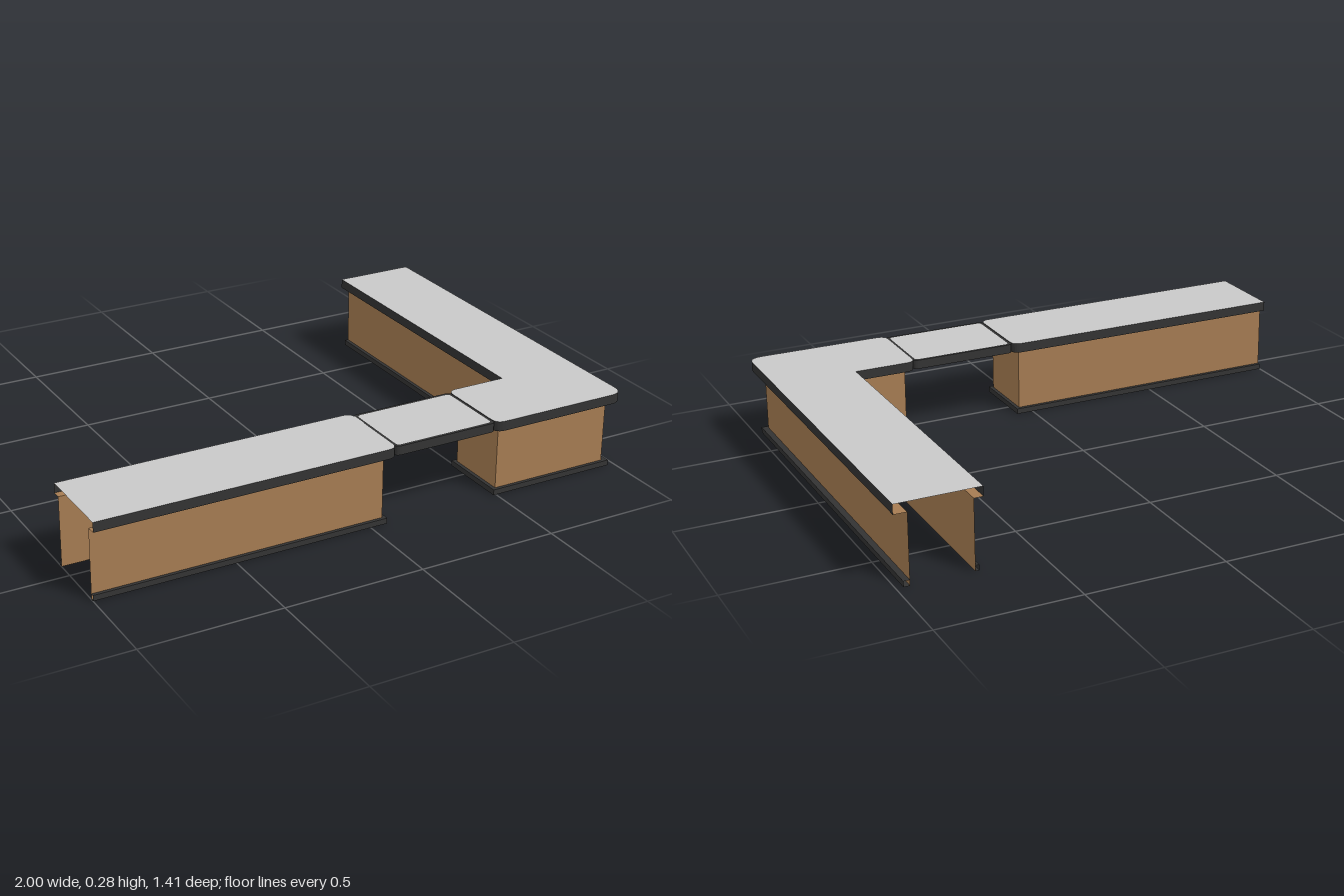
import * as THREE from 'three';

const TOP = 0.285, SOFFIT = 0.25, PLINTH = 0.02;

function material(name, color) {
  const m = new THREE.MeshStandardMaterial({ color, side: THREE.DoubleSide });
  m.name = name;
  return m;
}

// Rounds each [x, z, radius] corner; every corner yields the same number of points.
function outline(corners, steps = 6) {
  const pts = corners.map(([x, z]) => new THREE.Vector2(x, z));
  return pts.flatMap((p, i) => {
    if (i === 0 || i === pts.length - 1) return [p];
    const r = corners[i][2] || 0;
    const a = pts[i - 1].clone().sub(p).normalize().multiplyScalar(r).add(p);
    const b = pts[i + 1].clone().sub(p).normalize().multiplyScalar(r).add(p);
    const c = p.clone().lerp(a, 0.17).lerp(b, 0.0);
    c.copy(p);
    return new THREE.QuadraticBezierCurve(a, c, b).getPoints(steps);
  });
}

// Sheet running along a path, joining each [path, height] rail to the next.
function sheet(...rails) {
  const pos = [];
  for (let k = 0; k + 1 < rails.length; k++) {
    const [[A, ya], [B, yb]] = [rails[k], rails[k + 1]];
    for (let i = 0; i + 1 < A.length; i++) {
      const a = [A[i].x, ya, A[i].y], b = [A[i + 1].x, ya, A[i + 1].y];
      const c = [B[i].x, yb, B[i].y], d = [B[i + 1].x, yb, B[i + 1].y];
      pos.push(...a, ...c, ...b, ...b, ...c, ...d);
    }
  }
  const g = new THREE.BufferGeometry();
  g.setAttribute('position', new THREE.Float32BufferAttribute(pos, 3));
  g.computeVertexNormals();
  return g;
}

// Horizontal face filling a path.
function flat(path, y) {
  const shape = new THREE.Shape(path.map(p => new THREE.Vector2(p.x, -p.y)));
  return new THREE.ShapeGeometry(shape).rotateX(-Math.PI / 2).translate(0, y, 0);
}

function roundedRect(x0, x1, z0, z1, r) {
  const xm = (x0 + x1) / 2;
  return outline([[xm, z1], [x1, z1, r], [x1, z0, r], [x0, z0, r], [x0, z1, r], [xm, z1]]);
}

export function createModel() {
  const wood = material('wood brown', 0xa67c52);
  const dark = material('dark trim', 0x333333);
  const grey = material('worktop grey', 0xc8c8c8);
  const model = new THREE.Group();
  model.name = 'counter';

  const add = (parent, name, geometry, mat) => {
    const mesh = new THREE.Mesh(geometry, mat);
    mesh.name = name;
    parent.add(mesh);
  };

  // Hollow counter: worktop, overhanging rim, panels with soffit, and plinth
  const addCounter = (name, topCorners, wallCorners, baseCorners) => {
    const group = new THREE.Group();
    group.name = name;
    const [top, wall, base] = [topCorners, wallCorners, baseCorners].map(c => outline(c));
    add(group, 'worktop', flat(top, TOP), grey);
    add(group, 'worktopRim', sheet([top, TOP], [top, SOFFIT]), dark);
    add(group, 'panels', sheet([top, SOFFIT], [wall, SOFFIT], [wall, 0]), wood);
    add(group, 'plinth', sheet([wall, PLINTH], [base, PLINTH], [base, 0], [wall, 0]), dark);
    model.add(group);
  };

  addCounter('straightCounter',
    [[-1, 0.405], [0.083, 0.405, 0.035], [0.083, 0.705, 0.035], [-1, 0.705]],
    [[-1, 0.435], [0.05, 0.435], [0.05, 0.67], [-1, 0.67]],
    [[-1, 0.422], [0.063, 0.422], [0.063, 0.682], [-1, 0.682]]);

  addCounter('cornerCounter',
    [[0.7, -0.705], [0.7, 0.405], [0.472, 0.405, 0.035], [0.472, 0.705, 0.035], [1, 0.705, 0.05], [1, -0.705]],
    [[0.733, -0.705], [0.733, 0.435], [0.503, 0.435], [0.503, 0.67], [0.953, 0.67], [0.953, -0.705]],
    [[0.72, -0.705], [0.72, 0.422], [0.49, 0.422], [0.49, 0.682], [0.975, 0.682], [0.975, -0.705]]);

  // Lift-up flap bridging the two counters
  const flap = new THREE.Group();
  flap.name = 'flap';
  const edge = roundedRect(0.082, 0.474, 0.416, 0.696, 0.02);
  const inset = roundedRect(0.093, 0.463, 0.427, 0.685, 0.015);
  add(flap, 'flapEdge', sheet([inset, TOP - 0.002], [edge, TOP - 0.002], [edge, SOFFIT]), dark);
  add(flap, 'flapUnderside', flat(edge, SOFFIT), dark);
  add(flap, 'flapTop', flat(inset, TOP - 0.002), grey);
  model.add(flap);

  return model;
}
